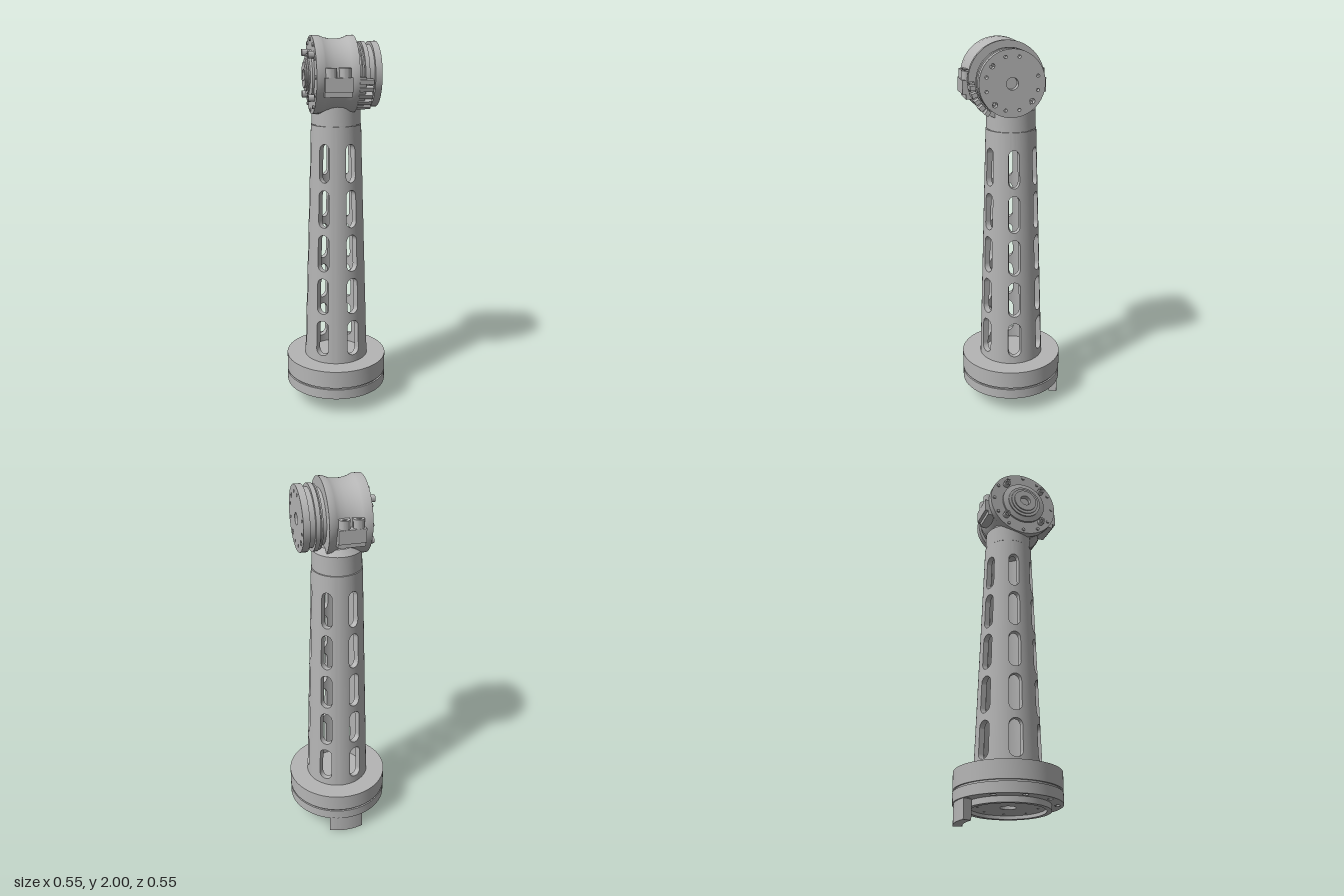
import * as THREE from 'three';
import { toCreasedNormals } from 'three/addons/utils/BufferGeometryUtils.js';

const metal = new THREE.MeshStandardMaterial({ color: 0xb5b5b5 });
metal.name = 'grey metal';

function add(parent, name, geometry, x = 0, y = 0, z = 0) {
  const mesh = new THREE.Mesh(geometry, metal);
  mesh.name = name;
  mesh.position.set(x, y, z);
  parent.add(mesh);
  return mesh;
}

// Turned part around y; profile runs from bottom to top on the outside
function turned(profile, segments = 64) {
  const points = profile.map(([r, y]) => new THREE.Vector2(r, y));
  return toCreasedNormals(new THREE.LatheGeometry(points, segments), 0.5);
}

// Turned part whose axis is x
const turnedX = (profile, segments) => turned(profile, segments).rotateZ(-Math.PI / 2);

// Flat disc along z with holes given as [radius from centre, hole radius, count, start angle]
function drilledDisc(radius, depth, rings) {
  const shape = new THREE.Shape().absarc(0, 0, radius, 0, Math.PI * 2);
  for (const [r, hole, count, start = 0] of rings) {
    for (let i = 0; i < count; i++) {
      const a = start + (i / count) * Math.PI * 2;
      shape.holes.push(new THREE.Path().absarc(r * Math.cos(a), r * Math.sin(a), hole, 0, Math.PI * 2, true));
    }
  }
  const g = new THREE.ExtrudeGeometry(shape, { depth, bevelEnabled: false, curveSegments: 32 });
  return toCreasedNormals(g, 0.5);
}

// Tapered, slotted tube
const WALL = 0.03, Y0 = 0.26, Y1 = 1.55;
const outerRadius = (y) => 0.174 + (0.131 - 0.174) * ((y - Y0) / (Y1 - Y0));

// Curved wall piece between two heights that may vary with the angle
function wallPiece(positions, angles, low, high) {
  const section = (a) => {
    const pt = (y, inset) => {
      const r = outerRadius(y) - inset;
      return [r * Math.cos(a), y, r * Math.sin(a)];
    };
    const l = low(a), h = high(a);
    return [pt(l, 0), pt(h, 0), pt(h, WALL), pt(l, WALL)];
  };
  const quad = (a, b, c, d) => positions.push(...a, ...b, ...c, ...a, ...c, ...d);
  const loops = angles.map(section);
  for (let i = 0; i < loops.length - 1; i++) {
    const A = loops[i], B = loops[i + 1];
    for (let k = 0; k < 4; k++) {
      const n = (k + 1) % 4;
      quad(A[k], A[n], B[n], B[k]);
    }
  }
  const S = loops[0], E = loops[loops.length - 1];
  quad(S[0], S[3], S[2], S[1]);
  quad(E[0], E[1], E[2], E[3]);
}

function slottedTube() {
  const positions = [];
  const half = 0.21, round = 0.033, straight = 0.067, rows = 5;
  for (let s = 0; s < 6; s++) {
    const mid = THREE.MathUtils.degToRad(-6 + s * 60);
    // Slot column: solid pieces between the rounded openings
    const slotAngles = Array.from({ length: 13 }, (_, i) => mid - half * Math.cos((i / 12) * Math.PI));
    const reach = (a) => straight + round * Math.sqrt(Math.max(0, 1 - ((a - mid) / half) ** 2));
    const centre = (row) => 0.4 + row * 0.24;
    for (let row = 0; row <= rows; row++) {
      wallPiece(positions, slotAngles,
        (a) => (row === 0 ? Y0 : centre(row - 1) + reach(a)),
        (a) => (row === rows ? Y1 : centre(row) - reach(a)));
    }
    // Solid rib between neighbouring slot columns
    const ribAngles = Array.from({ length: 9 }, (_, i) => mid + half + (i / 8) * (Math.PI / 3 - 2 * half));
    wallPiece(positions, ribAngles, () => Y0, () => Y1);
  }
  const g = new THREE.BufferGeometry();
  g.setAttribute('position', new THREE.Float32BufferAttribute(positions, 3));
  return toCreasedNormals(g, 0.5);
}

function makeBase() {
  const base = new THREE.Group();
  base.name = 'base';
  add(base, 'upperFlange', turned([[0, 0.165], [0.275, 0.165], [0.275, 0.26], [0, 0.26]], 96));
  add(base, 'flangeGroove', turned([[0.266, 0.154], [0.266, 0.166]], 96));
  const lower = drilledDisc(0.275, 0.055, [[0.244, 0.015, 10, 0.2], [0, 0.04, 1]]);
  add(base, 'lowerFlange', lower.rotateX(-Math.PI / 2), 0, 0.1, 0);
  add(base, 'lowerRim', turned([[0.19, 0.1], [0.19, 0.07], [0.215, 0.07], [0.215, 0.1]], 96));
  const plate = drilledDisc(0.19, 0.012, [[0.15, 0.006, 8], [0, 0.04, 1]]);
  add(base, 'recessPlate', plate.rotateX(-Math.PI / 2), 0, 0.088, 0);
  // Curved tab hanging below the back edge
  const a0 = 1.385, a1 = 2.115;
  const tab = new THREE.Shape();
  tab.absarc(0, 0, 0.268, a0, a1, false);
  tab.absarc(0, 0, 0.222, a1, a0, true);
  const tabGeometry = new THREE.ExtrudeGeometry(tab, { depth: 0.1, bevelEnabled: false, curveSegments: 20 });
  add(base, 'connectorTab', toCreasedNormals(tabGeometry, 0.5).rotateX(-Math.PI / 2));
  return base;
}

function makeHead() {
  const head = new THREE.Group();
  head.name = 'jointHead';
  head.position.set(0.009, 1.805, 0.039);
  head.rotation.y = 0.227;

  // Waisted housing with a flange at each end
  add(head, 'housing', turnedX([
    [0, -0.138], [0.195, -0.138], [0.195, -0.1], [0.19, -0.09], [0.183, -0.07], [0.178, -0.045],
    [0.177, -0.015], [0.18, 0.015], [0.187, 0.036], [0.194, 0.05], [0.195, 0.076], [0, 0.076],
  ], 72));
  // Stacked rings leading to the output disc
  add(head, 'bearingRings', turnedX([
    [0.14, 0.07], [0.14, 0.096], [0.16, 0.096], [0.16, 0.104], [0.152, 0.104], [0.152, 0.11],
    [0.165, 0.11], [0.165, 0.132], [0.148, 0.132], [0.148, 0.16], [0, 0.16],
  ], 72));
  const output = drilledDisc(0.165, 0.034, [
    [0.132, 0.008, 12, 0.26], [0.132, 0.013, 4, 0.85], [0, 0.03, 1],
  ]);
  add(head, 'outputDisc', output.rotateY(Math.PI / 2), 0.16, 0, 0);

  // Stepped cover with a bore on the closed side
  add(head, 'rearCover', turnedX([
    [0, -0.15], [0.03, -0.15], [0.03, -0.175], [0.065, -0.175], [0.065, -0.168], [0.08, -0.168],
    [0.08, -0.161], [0.095, -0.161], [0.095, -0.154], [0.125, -0.148], [0.125, -0.136],
  ], 48));
  for (let i = 0; i < 4; i++) {
    const a = Math.PI / 4 + (i * Math.PI) / 2;
    const screw = turnedX([[0, -0.155], [0.009, -0.155], [0.009, -0.168], [0.018, -0.168], [0.018, -0.136]], 20);
    add(head, 'rearScrew', screw, 0, 0.148 * Math.sin(a), 0.148 * Math.cos(a));
  }
  for (let i = 0; i < 12; i++) {
    const a = (i / 12) * Math.PI * 2;
    add(head, 'rearRimBolt', turnedX([[0, -0.145], [0.009, -0.145], [0.009, -0.136]], 12),
      0, 0.175 * Math.sin(a), 0.175 * Math.cos(a));
  }

  // Clamp lugs with two bolt bosses each, front and back
  for (const side of [1, -1]) {
    add(head, 'clampLug', new THREE.BoxGeometry(0.137, 0.07, 0.085), -0.032, -0.035, side * 0.173);
    add(head, 'clampFoot', new THREE.BoxGeometry(0.137, 0.03, 0.06), -0.032, -0.08, side * 0.168);
    for (const x of [-0.067, 0.003]) {
      const boss = turned([[0.028, -0.002], [0.028, 0.045], [0.015, 0.045], [0.015, 0.025], [0, 0.025]], 24);
      add(head, 'boltBoss', boss, x, 0, side * 0.187);
      add(head, 'bossWeb', new THREE.BoxGeometry(0.056, 0.046, 0.05), x, 0.022, side * 0.165);
    }
  }

  // Toothed stop bracket low on the front side
  for (let i = 0; i < 5; i++) {
    const a = 0.12 + i * 0.2;
    const tooth = add(head, 'stopTooth', new THREE.BoxGeometry(0.07, 0.022, 0.028),
      0.11, -0.185 * Math.sin(a), 0.185 * Math.cos(a));
    tooth.rotation.x = a;
    const link = add(head, 'stopLink', new THREE.BoxGeometry(0.035, 0.042, 0.025),
      0.09, -0.18 * Math.sin(a), 0.18 * Math.cos(a));
    link.rotation.x = a;
  }
  return head;
}

export function createModel() {
  const model = new THREE.Group();
  model.name = 'robotArmLink';
  model.add(makeBase());
  add(model, 'slottedColumn', slottedTube());
  add(model, 'neckCollar', turned([[0, 1.553], [0.128, 1.553], [0.126, 1.65], [0.1, 1.68], [0, 1.68]]));
  add(model, 'collarSeam', turned([[0.124, 1.545], [0.124, 1.556]]));
  model.add(makeHead());
  return model;
}
